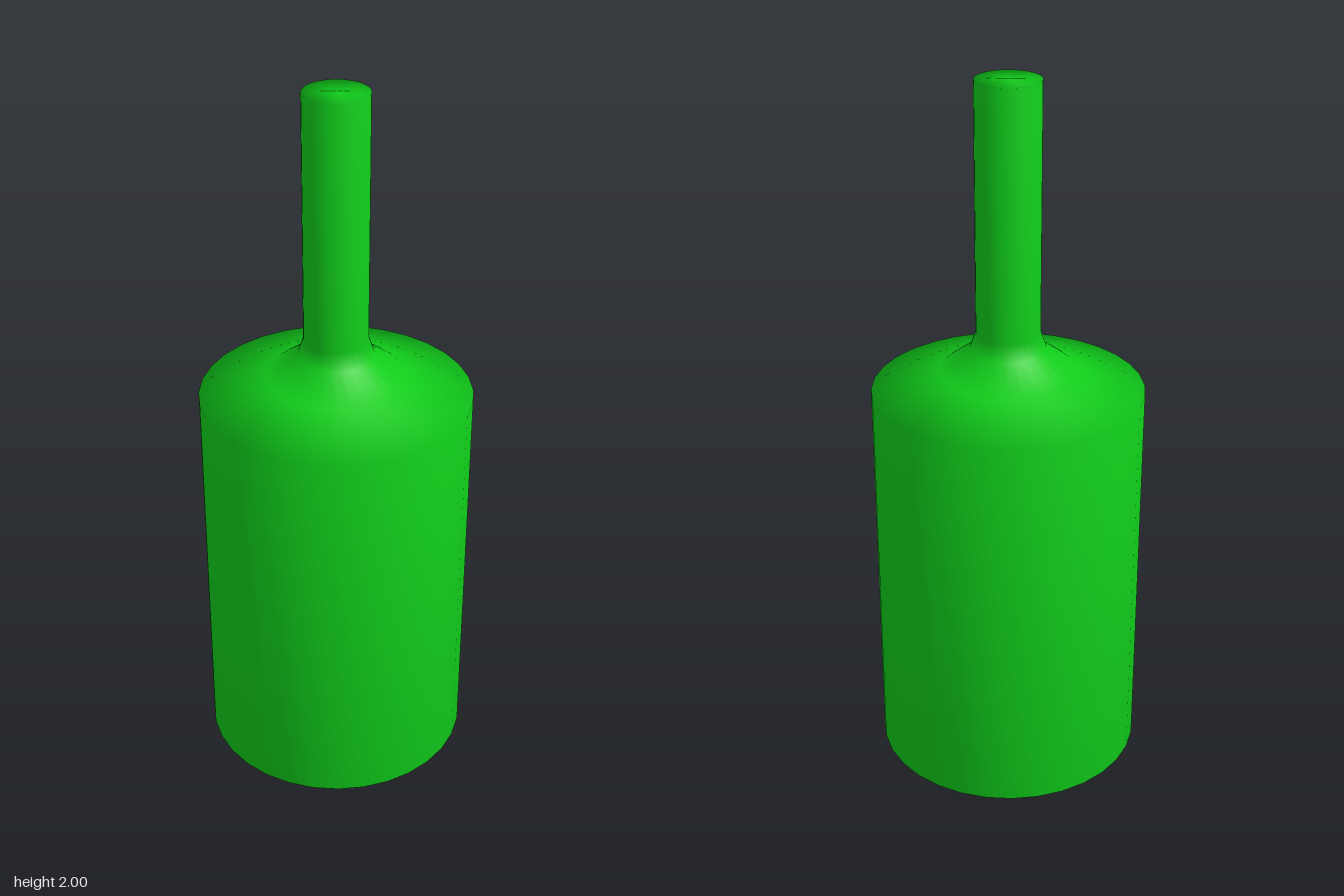
import * as THREE from 'three';

export function createModel() {
  const group = new THREE.Group();
  group.name = 'bottle';

  // Radius and height, from the base up to the closed top
  const profile = [
    [0, 0], [0.04, 0.005], [0.115, 0.03], [0.21, 0.045], [0.357, 0.122],
    [0.357, 1.187], [0.18, 1.24], [0.1, 1.3], [0.084, 1.345], [0.084, 2], [0, 2],
  ].map(([r, y]) => new THREE.Vector2(r, y));

  // Body, shoulder and neck turned as one smooth piece
  const material = new THREE.MeshStandardMaterial({ color: 0x10cc1a, side: THREE.DoubleSide });
  const body = new THREE.Mesh(new THREE.LatheGeometry(profile, 32), material);
  body.name = 'bottleBody';
  group.add(body);

  return group;
}
